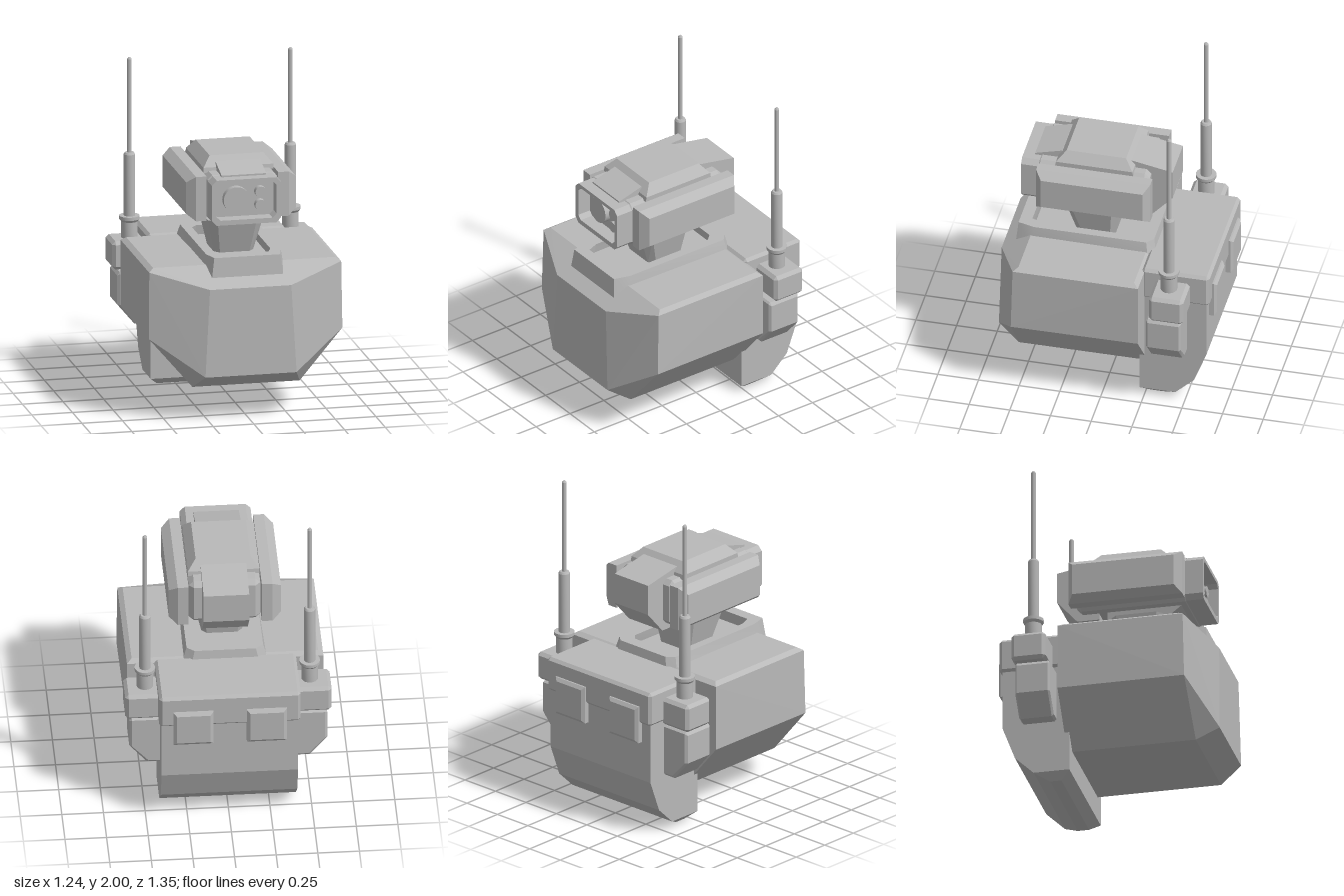
import * as THREE from 'three';
import { toCreasedNormals } from 'three/addons/utils/BufferGeometryUtils.js';
import { ConvexGeometry } from 'three/addons/geometries/ConvexGeometry.js';

export function createModel() {
  const root = new THREE.Group();
  root.name = 'robotTorso';
  const grey = new THREE.MeshStandardMaterial({ color: 0xb8b8b8 });
  grey.name = 'plain grey';

  const add = (name, geometry, parent = root) => {
    const mesh = new THREE.Mesh(geometry, grey);
    mesh.name = name;
    parent.add(mesh);
    return mesh;
  };
  const hull = (points) => new ConvexGeometry(points.map((p) => new THREE.Vector3(...p)));
  // Points given for +x, repeated for -x
  const mirrored = (points) => hull(points.flatMap(([x, y, z]) => [[x, y, z], [-x, y, z]]));
  // Box with all edges cut by c
  const chamferBox = (x0, x1, y0, y1, z0, z1, c) => {
    const pts = [];
    for (const i of [0, 1]) for (const j of [0, 1]) for (const k of [0, 1]) {
      const x = i ? x1 : x0, y = j ? y1 : y0, z = k ? z1 : z0;
      const dx = i ? -c : c, dy = j ? -c : c, dz = k ? -c : c;
      pts.push([x, y + dy, z + dz], [x + dx, y, z + dz], [x + dx, y + dy, z]);
    }
    return hull(pts);
  };
  const outline = (pts) => pts.map(([x, y]) => new THREE.Vector2(x, y));
  const flat = (g) => toCreasedNormals(g, 0.3);

  // Torso: faceted hull with a narrow pointed front
  add('torso', mirrored([
    [0.33, 0.2, -0.25], [0.59, 0.51, -0.25], [0.59, 0.92, -0.25], [0.56, 0.94, -0.22],
    [0.33, 0.2, 0.54], [0.595, 0.51, 0.53], [0.59, 0.92, 0.52], [0.56, 0.94, 0.49],
    [0.25, 0.83, 0.665], [0.28, 0.29, 0.675],
  ]));

  // Collar: sloping open frame around the neck
  const collarShape = new THREE.Shape(outline([
    [-0.2, 0.27], [0.2, 0.27], [0.25, 0.23], [0.25, -0.48],
    [0.22, -0.585], [-0.22, -0.585], [-0.25, -0.48], [-0.25, 0.23],
  ]));
  collarShape.holes.push(new THREE.Path(outline([
    [-0.15, 0.19], [-0.19, 0.15], [-0.19, -0.44], [-0.16, -0.51], [0.16, -0.51],
    [0.19, -0.44], [0.19, 0.15], [0.15, 0.19],
  ])));
  const collar = new THREE.ExtrudeGeometry(collarShape, { depth: 0.13, bevelEnabled: false });
  collar.rotateX(-Math.PI / 2).translate(0, 0.87, 0);
  const cp = collar.attributes.position;
  for (let i = 0; i < cp.count; i++) {
    // Draw the top rim in a little
    if (cp.getY(i) > 0.95) cp.setXYZ(i, cp.getX(i) * 0.92, cp.getY(i), (cp.getZ(i) - 0.15) * 0.97 + 0.15);
  }
  // Lift the rear of the frame so it sits on the torso and pack
  for (let i = 0; i < cp.count; i++) {
    if (cp.getY(i) < 0.9 && cp.getZ(i) < 0) cp.setY(i, 0.93);
  }
  add('collar', flat(collar));

  // Neck
  add('neck', mirrored([
    [0.09, 0.93, 0.24], [0.12, 0.93, 0.2], [0.12, 0.93, 0.03], [0.09, 0.93, 0],
    [0.12, 1.15, 0.31], [0.17, 1.15, 0.26], [0.17, 1.15, 0.01], [0.12, 1.15, -0.04],
  ]));
  add('neckPlate', mirrored([
    [0.135, 1.14, 0.34], [0.135, 1.14, -0.05], [0.14, 1.2, 0.42], [0.14, 1.2, -0.05],
  ]));

  // Head
  const head = new THREE.Group();
  head.name = 'head';
  root.add(head);
  add('headCore', chamferBox(-0.215, 0.215, 1.19, 1.48, -0.23, 0.47, 0.03), head);
  add('headCap', mirrored([
    [0.215, 1.47, 0.345], [0.215, 1.47, -0.135], [0.215, 1.5, 0.34], [0.215, 1.5, -0.13],
    [0.165, 1.56, 0.285], [0.165, 1.56, -0.08],
  ]), head);
  add('browPlate', mirrored([
    [0.137, 1.53, 0.32], [0.137, 1.485, 0.485], [0.137, 1.46, 0.485], [0.137, 1.46, 0.3],
  ]), head);
  add('headRearBlock', mirrored([
    [0.137, 1.53, -0.1], [0.137, 1.48, -0.36], [0.137, 1.29, -0.36],
    [0.137, 1.15, -0.235], [0.137, 1.15, -0.1],
  ]), head);

  // Hood around the lenses
  const octagon = (w, y0, y1, c) => outline([
    [-w + c, y0], [w - c, y0], [w, y0 + c], [w, y1 - c],
    [w - c, y1], [-w + c, y1], [-w, y1 - c], [-w, y0 + c],
  ]);
  const hoodShape = new THREE.Shape(octagon(0.213, 1.195, 1.475, 0.03));
  hoodShape.holes.push(new THREE.Path(octagon(0.185, 1.225, 1.452, 0.025).reverse()));
  const hood = new THREE.ExtrudeGeometry(hoodShape, { depth: 0.11, bevelEnabled: false });
  add('hood', flat(hood.translate(0, 0, 0.445)), head);

  // Lenses
  for (const [name, x, y, r] of [
    ['mainLens', -0.05, 1.335, 0.08],
    ['upperSmallLens', 0.1, 1.375, 0.034],
    ['lowerSmallLens', 0.1, 1.293, 0.034],
  ]) {
    const lens = new THREE.CylinderGeometry(r, r, 0.05, 28).rotateX(Math.PI / 2);
    add(name, lens.translate(x, y, 0.485), head);
  }

  // Backpack: lid above a shell that curls in at the bottom
  add('packLid', chamferBox(-0.425, 0.425, 0.73, 0.945, -0.65, -0.235, 0.018));
  const shellSide = [
    [0.74, -0.235], [0.74, -0.63], [0.36, -0.63], [0.16, -0.555], [0.05, -0.44], [0.05, -0.22], [0.3, -0.22],
  ];
  add('packShell', mirrored([
    ...shellSide.map(([y, z]) => [0.41, y, z]),
    [0.36, 0.005, -0.35], [0.36, 0.005, -0.28],
  ]));

  // Antenna silhouette, radius against height
  const antennaProfile = outline([
    [0, 0.87], [0.05, 0.87], [0.05, 0.985], [0.062, 1.0], [0.062, 1.02], [0.034, 1.02],
    [0.034, 1.4], [0.027, 1.412], [0.014, 1.412], [0.014, 1.99], [0.008, 2], [0, 2],
  ]);

  // Paired parts
  for (const s of [1, -1]) {
    const side = s > 0 ? 'left' : 'right';
    const sided = (pts) => hull(pts.map(([x, y, z]) => [x * s, y, z]));

    add(side + 'EarPod', sided([
      ...[0.22, 0.285].flatMap((x) => [[x, 1.2, 0.445], [x, 1.475, 0.445], [x, 1.2, -0.255], [x, 1.475, -0.255]]),
      [0.337, 1.24, 0.405], [0.337, 1.435, 0.405], [0.337, 1.24, -0.22], [0.337, 1.435, -0.22],
    ]), head);

    const a = s > 0 ? 0.4 : -0.62;
    add(side + 'AntennaBox', chamferBox(a, a + 0.22, 0.71, 0.885, -0.532, -0.32, 0.02));

    add(side + 'SidePouch', sided([
      ...[-0.31, -0.5].flatMap((z) => [
        [0.4, 0.7, z], [0.58, 0.7, z], [0.595, 0.68, z], [0.595, 0.5, z], [0.49, 0.375, z], [0.4, 0.375, z],
      ]),
      ...[-0.298, -0.512].flatMap((z) => [[0.4, 0.69, z], [0.58, 0.69, z], [0.58, 0.5, z], [0.48, 0.39, z], [0.4, 0.39, z]]),
    ]));

    const antenna = toCreasedNormals(new THREE.LatheGeometry(antennaProfile, 20), 0.5);
    add(side + 'Antenna', antenna.translate(0.495 * s, 0, -0.42));

    const rim = (w, h, z) => [[-w, -h], [w, -h], [w, h], [-w, h]].map(([x, y]) => [0.22 * s + x, 0.725 + y, z]);
    add(side + 'BackPad', hull([
      ...rim(0.12, 0.118, -0.62), ...rim(0.12, 0.118, -0.66), ...rim(0.1, 0.098, -0.675),
    ]));
  }
  return root;
}
